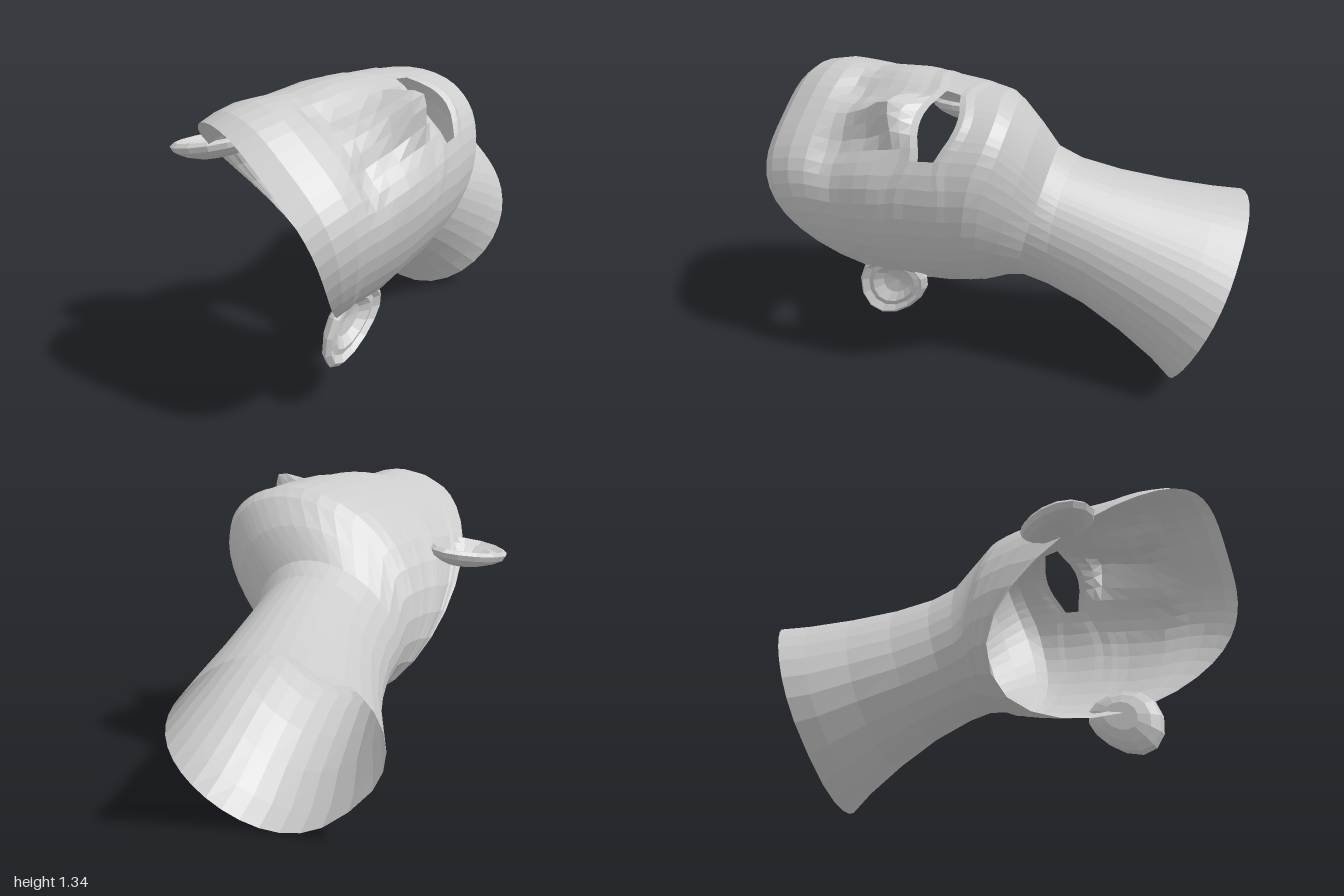
import * as THREE from 'three';

// Head frame: a = toward the left ear, f = toward the face, z = toward the crown
const EAR_AXIS = new THREE.Vector3(0.74, -0.67, 0).normalize();
const FACE_AXIS = new THREE.Vector3(0.67, 0.74, 0).normalize();
const ORIGIN = new THREE.Vector3(-0.02, 0.66, 0);
const toWorld = ([a, f, z]) => ORIGIN.clone()
  .addScaledVector(EAR_AXIS, a).addScaledVector(FACE_AXIS, f).add(new THREE.Vector3(0, 0, z));

const gauss = (d, s) => Math.exp(-(d * d) / (2 * s * s));

// Joins loops of points into a surface; skip(row, p, q) leaves an opening
function loft(rows, skip = () => false, flip = false) {
  const n = rows[0].length;
  const positions = rows.flat().flatMap((p) => toWorld(p).toArray());
  const index = [];
  for (let i = 0; i < rows.length - 1; i++) {
    for (let j = 0; j < n; j++) {
      const k = (j + 1) % n;
      if (skip(i, rows[i][j], rows[i][k])) continue;
      const A = i * n + j, B = A + n, C = (i + 1) * n + k, D = i * n + k;
      if (flip) index.push(A, C, B, A, D, C);
      else index.push(A, B, C, A, C, D);
    }
  }
  const geometry = new THREE.BufferGeometry();
  geometry.setAttribute('position', new THREE.Float32BufferAttribute(positions, 3));
  geometry.setIndex(index);
  geometry.computeVertexNormals();
  return geometry;
}

// Loops from the neck opening up to the open rim of the skull:
// front z, side z, back z, front f, back f, half width, roundness
const NECK = [
  [-1.00, -0.79, -0.65, 0.06, -0.65, 0.445, 0.78],
  [-0.86, -0.69, -0.57, 0.11, -0.60, 0.40, 0.82],
  [-0.65, -0.53, -0.43, 0.18, -0.49, 0.345, 0.86],
  [-0.43, -0.36, -0.26, 0.26, -0.39, 0.30, 0.9],
  [-0.27, -0.20, -0.11, 0.32, -0.31, 0.28, 0.9],
  [-0.21, -0.09, -0.03, 0.38, -0.28, 0.285, 0.9],
];
const FACE = [
  [-0.185, -0.03, 0.00, 0.56, -0.27, 0.325, 0.92],
  [-0.135, 0.02, 0.01, 0.71, -0.265, 0.36, 0.94],
  [-0.09, 0.06, 0.02, 0.75, -0.265, 0.385, 0.94],
  [0.00, 0.11, 0.03, 0.745, -0.265, 0.40, 0.9],
  [0.03, 0.14, 0.035, 0.75, -0.265, 0.405, 0.88],
  [0.06, 0.17, 0.04, 0.745, -0.265, 0.41, 0.86],
  [0.22, 0.24, 0.05, 0.745, -0.27, 0.42, 0.83],
  [0.25, 0.28, 0.055, 0.75, -0.27, 0.425, 0.81],
  [0.29, 0.32, 0.06, 0.735, -0.27, 0.43, 0.78],
  [0.32, 0.35, 0.065, 0.73, -0.275, 0.435, 0.75],
  [0.38, 0.39, 0.07, 0.72, -0.275, 0.44, 0.73],
  [0.46, 0.44, 0.075, 0.70, -0.28, 0.44, 0.69],
  [0.54, 0.48, 0.08, 0.69, -0.28, 0.44, 0.67],
  [0.60, 0.51, 0.085, 0.68, -0.28, 0.44, 0.65],
  [0.66, 0.54, 0.088, 0.685, -0.28, 0.44, 0.63],
  [0.73, 0.58, 0.09, 0.69, -0.28, 0.44, 0.62],
  [0.82, 0.61, 0.095, 0.68, -0.28, 0.445, 0.6],
  [0.93, 0.65, 0.098, 0.64, -0.28, 0.445, 0.58],
  [1.00, 0.67, 0.10, 0.58, -0.28, 0.445, 0.57],
];
const MOUTH_ROW = 6; // the gap between the two lip loops

// Nose, eye sockets, lids, cheekbones and lips as pushes along the face axis
function relief(a, z) {
  const x = Math.abs(a);
  let d = 0;
  if (z > 0.26) {
    const fall = Math.max(0, 1 - Math.max(0, z - 0.36) / 0.32) ** 1.4;
    d += 0.14 * fall * THREE.MathUtils.smoothstep(z, 0.26, 0.32) * gauss(x, 0.045);
    d += 0.045 * gauss(x - 0.075, 0.03) * gauss(z - 0.33, 0.035);
  }
  d -= 0.05 * gauss(x - 0.17, 0.06) * gauss(z - 0.62, 0.055);
  d += 0.03 * gauss(x - 0.19, 0.035) * gauss(z - 0.6, 0.03);
  d += 0.015 * gauss(x - 0.27, 0.06) * gauss(z - 0.46, 0.07);
  d += 0.015 * gauss(x, 0.09) * (gauss(z - 0.24, 0.025) + gauss(z - 0.04, 0.025));
  return d;
}

// Draws the lips together at the corners of the mouth
const pinch = (a, z) => (0.14 - z) * 0.85 * gauss(Math.abs(a) - 0.17, 0.06) * gauss(z - 0.14, 0.09);

function loop([zF, zS, zB, fF, fB, w, p], onFace, sway) {
  const half = 18, points = [];
  for (let j = 0; j < half * 2; j++) {
    const t = j <= half ? j / half : j / half - 2;
    const angle = Math.PI * Math.pow(Math.abs(t), 1.5);
    const c = Math.cos(angle);
    const power = onFace && c < 0 ? 0.92 : p;
    const a = Math.sign(t) * w * Math.pow(Math.max(0, Math.sin(angle)), power);
    let z = zS + (zF - zB) / 2 * c + ((zF + zB) / 2 - zS) * c * c;
    let f = (fF + fB) / 2 + (fF - fB) / 2 * c;
    if (onFace && c > 0) {
      f += relief(a, z);
      if (f > 0.5) z += pinch(a, z);
    }
    points.push([a + sway, f, z]);
  }
  return points;
}

// Ear: a thin tapered back, a rolled rim and a hollow bowl, as scale and offset
function earRows(side) {
  const profile = [[0.02, -0.07], [0.45, -0.07], [0.75, -0.05], [0.95, -0.025], [1, 0], [0.9, 0.015],
    [0.76, -0.005], [0.62, 0], [0.4, -0.03], [0.02, -0.04]];
  return profile.map(([s, off]) => {
    const ring = [];
    for (let j = 0; j < 14; j++) {
      const u = j / 14 * Math.PI * 2;
      const up = Math.sin(u) * s;
      const v = Math.cos(u) * s * 0.15 * (1 + 0.25 * up) + 0.05 * up;
      ring.push([side * (0.48 + 0.6 * v + 0.8 * off), 0.03 - 0.8 * v + 0.6 * off, 0.48 + 0.18 * up]);
    }
    return ring;
  });
}

export function createModel() {
  const group = new THREE.Group();
  const skin = new THREE.MeshStandardMaterial({ color: 0xcccccc, flatShading: true, side: THREE.DoubleSide });
  const add = (name, geometry) => {
    const mesh = new THREE.Mesh(geometry, skin);
    mesh.name = name;
    group.add(mesh);
  };

  // Neck, leaning slightly to one side toward its open end
  const neckRows = NECK.map((row, i) => loop(row, false, 0.05 * (1 - i / (NECK.length - 1))));
  add('neck', loft(neckRows));

  // Face shell, open at the mouth and at the back of the skull
  const faceRows = [neckRows[neckRows.length - 1], ...FACE.map((row) => loop(row, true, 0))];
  const mouth = (row, p, q) => row === MOUTH_ROW && p[1] > 0.5 && Math.max(Math.abs(p[0]), Math.abs(q[0])) < 0.2;
  add('face', loft(faceRows, mouth));

  // Ears
  add('leftEar', loft(earRows(1)));
  add('rightEar', loft(earRows(-1), undefined, true));
  return group;
}
